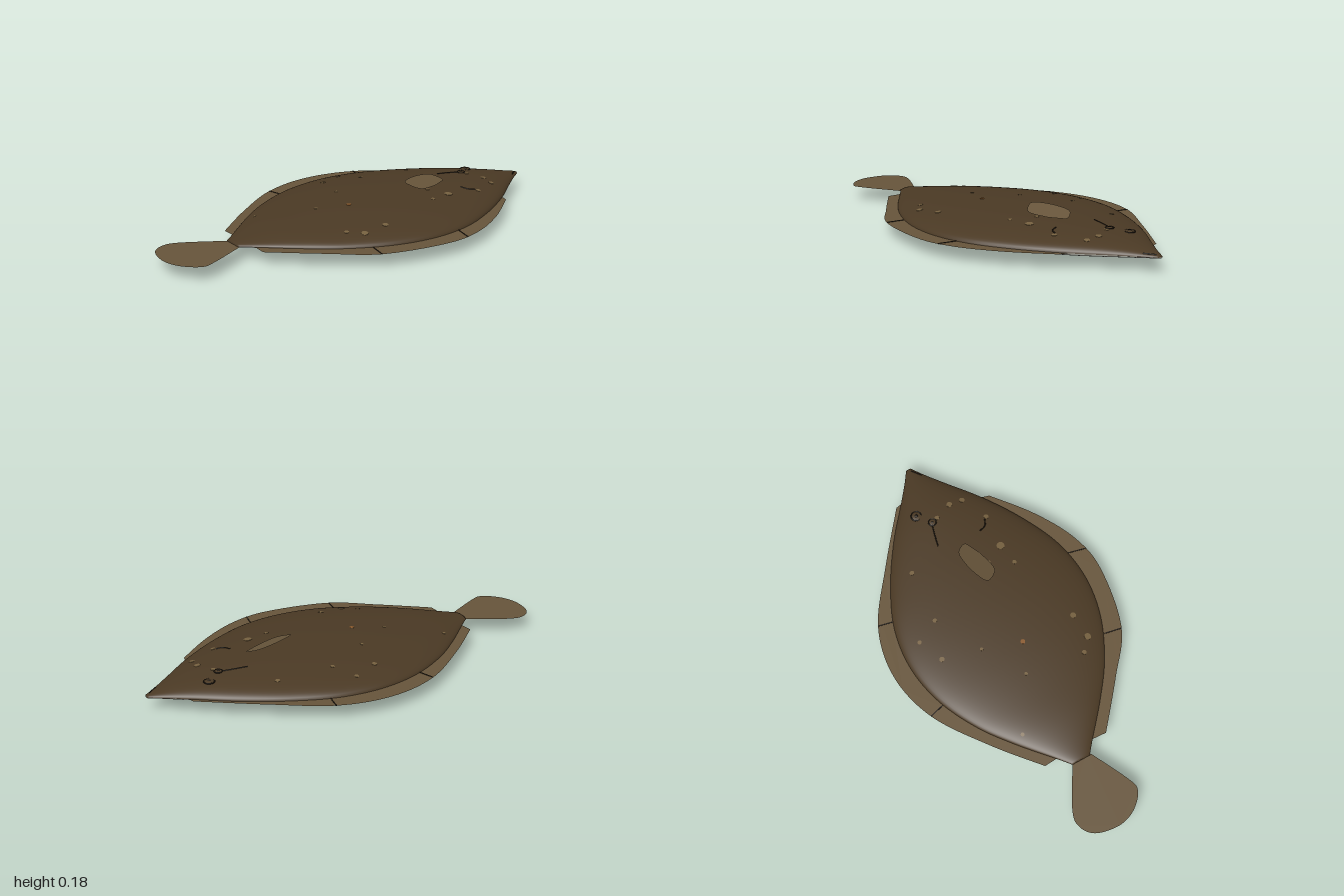
import * as THREE from 'three';

const mat = (name, color, side = THREE.FrontSide) => {
  const m = new THREE.MeshStandardMaterial({ color, side });
  m.name = name;
  return m;
};

const MID = 0.07;      // height of the fin plane
const BELLY = 0.57;    // belly depth relative to back height

// Body stations: x, half width, back height
const stations = new THREE.CatmullRomCurve3([
  [-0.66, 0.045, 0.012], [-0.6, 0.095, 0.02], [-0.45, 0.225, 0.04], [-0.3, 0.335, 0.052],
  [-0.1, 0.43, 0.064], [0.1, 0.466, 0.07], [0.3, 0.443, 0.07], [0.5, 0.36, 0.065],
  [0.7, 0.238, 0.054], [0.85, 0.122, 0.035], [0.95, 0.047, 0.017], [1, 0.014, 0.008],
].map(p => new THREE.Vector3(...p)));
const rings = stations.getPoints(88);

function section(x) {
  let i = 1;
  while (i < rings.length - 1 && rings[i].x < x) i++;
  const a = rings[i - 1], b = rings[i];
  return a.clone().lerp(b, (x - a.x) / (b.x - a.x));
}

// Height of the back (side 1) or belly (side -1) at a point
function surfaceY(x, z, side = 1) {
  const s = section(x);
  const k = Math.sqrt(Math.max(0, 1 - (z / s.y) ** 2));
  return MID + s.z * k * (side > 0 ? 1 : -BELLY);
}

// Upper or lower half of the body, swept from half ellipses
function halfBody(side) {
  const N = 36, pos = [], idx = [];
  const first = rings[0], last = rings[rings.length - 1];
  const all = [new THREE.Vector3(first.x, 0, 0), ...rings, new THREE.Vector3(last.x, 0, 0)];
  all.forEach((r, i) => {
    for (let j = 0; j <= N; j++) {
      const t = Math.PI * (j / N + (side > 0 ? 0 : 1));
      const h = r.z * (side > 0 ? 1 : BELLY);
      pos.push(r.x, MID + h * Math.sin(t), r.y * Math.cos(t));
      if (i < all.length - 1 && j < N) {
        const a = i * (N + 1) + j, b = a + N + 1;
        idx.push(a, b, a + 1, b, b + 1, a + 1);
      }
    }
  });
  const g = new THREE.BufferGeometry();
  g.setAttribute('position', new THREE.Float32BufferAttribute(pos, 3));
  g.setIndex(idx);
  g.computeVertexNormals();
  return g;
}

// Flat sheet in the x-z plane: smooth edge between two sharp root points
function sheet(start, edge, end) {
  const v = p => new THREE.Vector2(...p);
  const curve = new THREE.SplineCurve(edge.map(v)).getPoints(60);
  const shape = new THREE.Shape([v(start), ...curve, v(end)]);
  return new THREE.ShapeGeometry(shape).rotateX(Math.PI / 2);
}

// Lift a flat sheet onto a tilted plane
function tilt(g, heightAt) {
  const p = g.attributes.position;
  for (let i = 0; i < p.count; i++) p.setY(i, heightAt(p.getX(i), p.getZ(i)));
  g.computeVertexNormals();
  return g;
}

export function createModel() {
  const group = new THREE.Group();
  const skin = mat('brown skin', 0x4a3924);
  const belly = mat('pale belly', 0xcbcbc0);
  const fin = mat('fin brown', 0x66543a, THREE.DoubleSide);
  const dark = mat('dark line', 0x1f1810);
  const spot = mat('light spot', 0x75603f);
  const rust = mat('rust spot', 0x8a5a2c);

  const add = (name, geometry, material) => {
    const m = new THREE.Mesh(geometry, material);
    m.name = name;
    group.add(m);
    return m;
  };

  add('back', halfBody(1), skin);
  add('belly', halfBody(-1), belly);

  // Long fins round the edge of the body
  add('dorsalFin', sheet([-0.6, -0.08],
    [[-0.605, -0.155], [-0.4, -0.325], [-0.15, -0.492], [0.1, -0.552], [0.35, -0.503], [0.6, -0.335], [0.85, -0.145]],
    [0.86, -0.1]), fin).position.y = MID;
  add('analFin', sheet([-0.6, 0.08],
    [[-0.605, 0.162], [-0.4, 0.335], [-0.2, 0.485], [0.1, 0.55], [0.3, 0.522], [0.5, 0.42], [0.69, 0.275]],
    [0.71, 0.2]), fin).position.y = MID;
  add('tailFin', sheet([-0.64, -0.04],
    [[-0.66, -0.045], [-0.84, -0.15], [-0.92, -0.16], [-0.98, -0.11], [-1, 0], [-0.97, 0.09], [-0.9, 0.152], [-0.83, 0.137], [-0.66, 0.055]],
    [-0.64, 0.04]), fin).position.y = MID;

  // Side fins, one above and one below
  add('upperPectoralFin', tilt(sheet([0.495, 0.04],
    [[0.495, 0.025], [0.455, -0.015], [0.36, -0.008], [0.275, 0.025], [0.275, 0.06], [0.32, 0.098], [0.42, 0.078]],
    [0.49, 0.045]), (x, z) => 0.157 - 0.13 * (x - 0.4) - 0.3 * (z - 0.04)), fin);
  add('lowerPectoralFin', tilt(sheet([0.5, -0.035],
    [[0.5, -0.03], [0.45, -0.02], [0.37, -0.04], [0.31, -0.08], [0.34, -0.118], [0.42, -0.095]],
    [0.49, -0.045]), (x, z) => 0.018 + 0.22 * (z + 0.07) + 0.07 * (x - 0.4)), fin);

  // Dark rays across the long fins: inner point to outer point
  [[-0.13, -0.42, -0.15, -0.49], [0.34, -0.43, 0.355, -0.5],
    [-0.19, 0.4, -0.205, 0.48], [0.245, 0.455, 0.225, 0.54]].forEach(([x1, z1, x2, z2]) => {
    const ray = add('finRay', new THREE.BoxGeometry(Math.hypot(x2 - x1, z2 - z1), 0.004, 0.005), dark);
    ray.position.set((x1 + x2) / 2, MID, (z1 + z2) / 2);
    ray.rotation.y = -Math.atan2(z2 - z1, x2 - x1);
  });

  // Thin lines that follow the surface
  const line = (name, points, side) => {
    const curve = new THREE.CatmullRomCurve3(
      points.map(([x, z]) => new THREE.Vector3(x, surfaceY(x, z, side), z)));
    add(name, new THREE.TubeGeometry(curve, 24, 0.003, 6), dark);
  };
  line('upperGill', [[0.57, 0.185], [0.54, 0.17], [0.525, 0.135]], 1);
  line('cheekLine', [[0.55, -0.075], [0.61, -0.062], [0.67, -0.045]], 1);
  line('lowerGill', [[0.59, 0.105], [0.545, 0.05], [0.53, -0.01], [0.545, -0.08], [0.57, -0.135]], -1);
  line('mouth', [[0.94, 0.04], [0.965, 0.022], [0.985, 0.008]], 1);

  // Both eyes lie on the back
  [[0.745, -0.09, 0.024], [0.675, -0.04, 0.018]].forEach(([x, z, r]) => {
    const y = surfaceY(x, z);
    const ball = add('eye', new THREE.SphereGeometry(r, 20, 12).scale(1, 0.25, 1), skin);
    ball.position.set(x, y, z);
    const rim = add('eyeRim', new THREE.TorusGeometry(r, 0.003, 6, 24).rotateX(Math.PI / 2), dark);
    rim.position.set(x, y + 0.001, z);
    const pupil = add('pupil', new THREE.SphereGeometry(r * 0.35, 12, 8).scale(1, 0.3, 1), dark);
    pupil.position.set(x, y + r * 0.22, z);
  });

  // Spots: x, z, radius
  const spots = [
    [0.05, -0.325, 0.012], [0.175, -0.375, 0.01], [0.23, -0.265, 0.01], [0.495, -0.245, 0.011],
    [0, -0.145, 0.008], [-0.2, -0.025, 0.008], [-0.435, -0.175, 0.009], [-0.235, 0.262, 0.011],
    [-0.175, 0.315, 0.016], [-0.055, 0.307, 0.014], [0.305, 0.198, 0.01], [0.41, 0.182, 0.019],
    [0.36, 0.09, 0.01], [0.58, 0.198, 0.012], [0.72, 0.075, 0.014], [0.715, 0.14, 0.013], [0.685, -0.01, 0.011]];
  const plate = (name, [x, z, r], material) => {
    const e = 0.005;
    const normal = new THREE.Vector3(
      (surfaceY(x - e, z) - surfaceY(x + e, z)) / (2 * e), 1,
      (surfaceY(x, z - e) - surfaceY(x, z + e)) / (2 * e)).normalize();
    const m = add(name, new THREE.CylinderGeometry(r, r, 0.003, 14), material);
    m.position.set(x, surfaceY(x, z), z);
    m.quaternion.setFromUnitVectors(new THREE.Vector3(0, 1, 0), normal);
  };
  spots.forEach(s => plate('spot', s, spot));
  plate('rustSpot', [-0.06, 0.037, 0.011], rust);

  return group;
}
